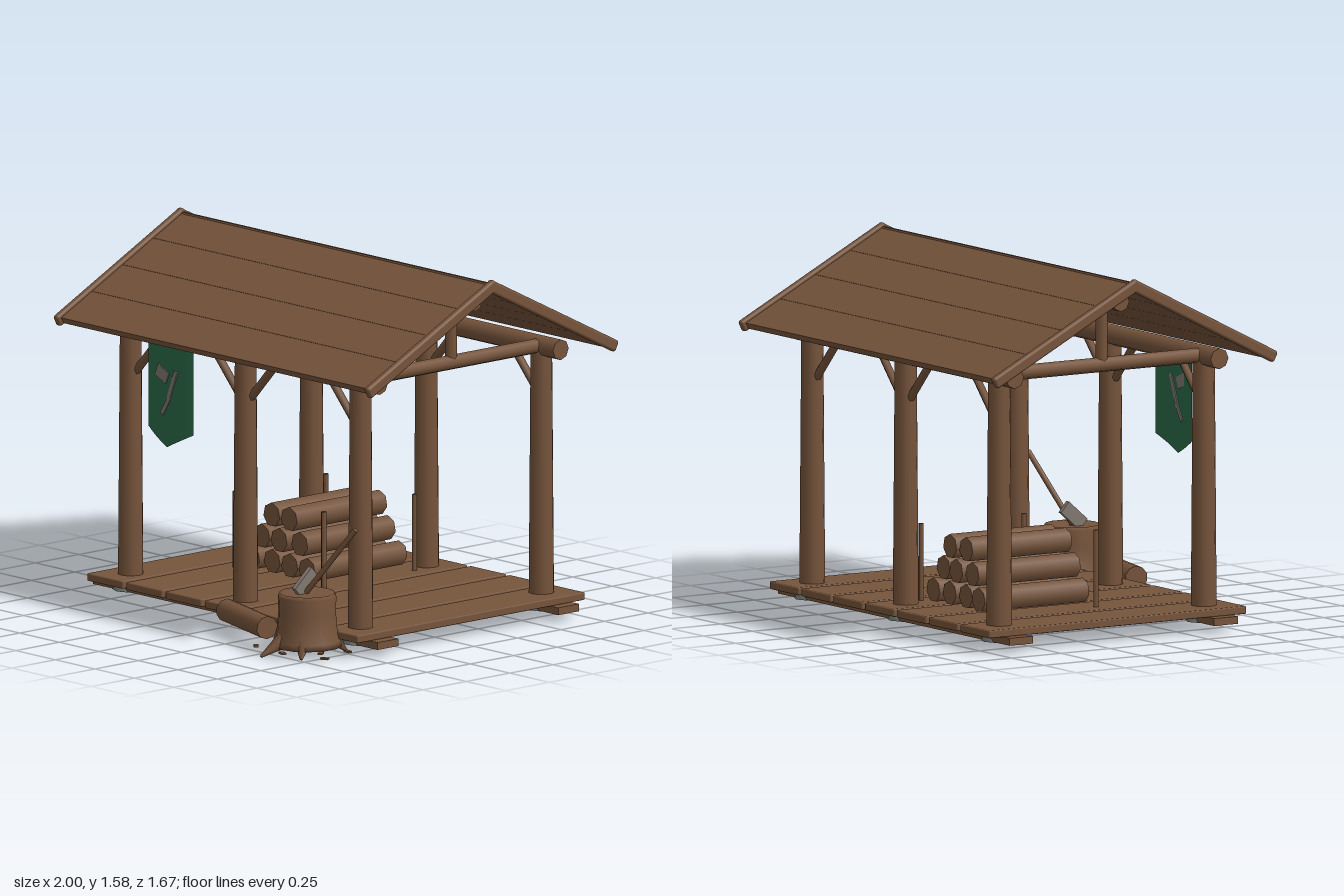
import * as THREE from 'three';
import { RoundedBoxGeometry } from 'three/addons/geometries/RoundedBoxGeometry.js';

const make = (name, color, side = THREE.FrontSide) => {
  const m = new THREE.MeshStandardMaterial({ color, side });
  m.name = name;
  return m;
};

export function createModel() {
  const wood = make('wood', 0x76543b);
  const cloth = make('green cloth', 0x2a6a47, THREE.DoubleSide);
  const metal = make('metal', 0x80786f);
  const stone = make('stone', 0x6c736f);
  const root = new THREE.Group();
  root.name = 'woodShelter';
  const V = (x, y, z) => new THREE.Vector3(x, y, z);

  const add = (name, geo, mat, pos = [0, 0, 0], rot = [0, 0, 0], parent = root) => {
    const m = new THREE.Mesh(geo, mat);
    m.name = name;
    m.position.set(...pos);
    m.rotation.set(...rot);
    parent.add(m);
    return m;
  };
  const box = (name, size, pos, mat = wood, rot, parent) =>
    add(name, new THREE.BoxGeometry(...size), mat, pos, rot, parent);
  // round timber running from a to b
  const rod = (name, a, b, ra, rb = ra, sides = 8, mat = wood) => {
    const p = V(...a), q = V(...b), d = q.clone().sub(p);
    const m = add(name, new THREE.CylinderGeometry(rb, ra, d.length(), sides), mat);
    m.position.copy(p).add(q).multiplyScalar(0.5);
    m.quaternion.setFromUnitVectors(V(0, 1, 0), d.normalize());
    return m;
  };

  const midZ = -0.115, rows = [0.405, -0.635], cols = [-0.727, 0, 0.727];

  // deck planks
  for (let i = 0; i < 7; i++)
    add('deckPlank', new RoundedBoxGeometry(0.226, 0.034, 1.31, 1, 0.006), wood,
      [(i - 3) * 0.2475, 0.084, midZ]);

  // bearers, footings, posts, eave beams and braces
  for (const z of rows) {
    box('bearer', [1.8, 0.032, 0.12], [0, 0.052, z]);
    rod('eaveBeam', [-0.85, 1.175, z], [0.85, 1.175, z], 0.045);
    for (const x of cols) {
      add('footing', new THREE.CylinderGeometry(0.066, 0.08, 0.033, 8), stone, [x, 0.05, z]);
      rod('post', [x, 0.09, z], [x, 1.17, z], 0.055, 0.047, 12);
      for (const s of [-1, 1])
        if (Math.abs(x + s * 0.1) < 0.8)
          rod('brace', [x + s * 0.02, 0.972, z], [x + s * 0.2, 1.165, z], 0.018, 0.018, 6);
    }
  }

  // end trusses and ridge beam
  for (const x of [cols[0], cols[2]]) {
    rod('tieBeam', [x, 1.177, rows[0]], [x, 1.177, rows[1]], 0.032);
    rod('kingPost', [x, 1.18, midZ], [x, 1.46, midZ], 0.026);
  }
  rod('ridgeBeam', [-0.88, 1.465, midZ], [0.88, 1.465, midZ], 0.042);

  // roof slopes: four boards and two barge boards each
  for (const turn of [0, Math.PI]) {
    const side = new THREE.Group(), slope = new THREE.Group();
    side.name = 'roofSide';
    slope.name = 'roofSlope';
    side.position.set(0, 1.575, midZ);
    side.rotation.y = turn;
    slope.rotation.x = 0.471;
    side.add(slope);
    root.add(side);
    for (let i = 0; i < 4; i++)
      box('roofBoard', [1.94, 0.028, 0.197], [0, -0.029, 0.1 + i * 0.1985], wood, [0, 0, 0], slope);
    for (const x of [-0.983, 0.983])
      add('bargeBoard', new RoundedBoxGeometry(0.032, 0.052, 0.822, 2, 0.012), wood,
        [x, -0.025, 0.403], [0, 0, 0], slope);
  }

  // stacked firewood, seven-sided logs
  [[4, -0.417, 0.16], [3, -0.36, 0.262], [2, -0.303, 0.362]].forEach(([n, x0, y], r) => {
    for (let i = 0; i < n; i++) {
      const x = x0 + i * 0.117, shift = ((i * 2 + r) % 3) * 0.006;
      rod('firewood', [x, y, -0.008 - shift], [x, y, -0.538 + shift], 0.053, 0.053, 7);
    }
  });
  for (const x of [-0.52, 0.04])
    for (const z of [-0.008, -0.53]) rod('stake', [x, 0.09, z], [x, 0.432, z], 0.012, 0.012, 6);

  // hanging banner, gently bowed, with pointed lower edge
  const bg = new THREE.PlaneGeometry(0.285, 1, 12, 6), p = bg.attributes.position;
  for (let i = 0; i < p.count; i++) {
    const u = p.getX(i) / 0.1425, v = 0.5 - p.getY(i);
    p.setY(i, 1.15 - v * (0.44 - 0.07 * Math.abs(u)));
    p.setZ(i, 0.455 + 0.022 * (1 - u * u));
  }
  bg.computeVertexNormals();
  add('banner', bg, cloth, [-0.418, 0, 0]);
  box('bannerAxeHead', [0.075, 0.052, 0.008], [-0.447, 1.025, 0.478], metal, [0, 0, -0.42]);
  box('bannerAxeHandle', [0.02, 0.13, 0.008], [-0.385, 0.985, 0.476], metal, [0, 0, -0.36]);
  box('bannerAxeHandle', [0.02, 0.09, 0.008], [-0.425, 0.89, 0.477], metal, [0, 0, -0.56]);

  // chopping stump with flared roots
  const stump = [[0, 0.035], [0.15, 0.035], [0.145, 0.06], [0.13, 0.11], [0.124, 0.18],
    [0.126, 0.25], [0.118, 0.265], [0.09, 0.258], [0, 0.258]].map(([x, y]) => new THREE.Vector2(x, y));
  add('stump', new THREE.LatheGeometry(stump, 14), wood, [0.62, 0, 0.615]);
  [[1.85, 0.22], [0.9, 0.16], [2.7, 0.17], [3.9, 0.17], [5.3, 0.17]].forEach(([a, r]) => {
    const c = Math.cos(a), s = Math.sin(a);
    rod('stumpRoot', [0.62 + c * 0.1, 0.075, 0.615 + s * 0.1],
      [0.62 + c * r, 0.005, 0.615 + s * r], 0.04, 0.006, 6);
  });

  // axe stuck in the stump
  rod('axeHandle', [0.61, 0.262, 0.612], [0.835, 0.558, 0.533], 0.012, 0.012, 8);
  box('axeHead', [0.022, 0.06, 0.125], [0.6, 0.303, 0.608], metal, [0.72, 0, 0]);

  // loose log and chips on the ground
  rod('looseLog', [0.09, 0.1, 0.597], [0.455, 0.095, 0.695], 0.05, 0.05, 10);
  [[0.69, 0.82, 0.3], [0.89, 0.76, -0.4], [0.85, 0.59, 0.1], [0.8, 0.7, 1], [0.5, 0.8, 0.7]]
    .forEach(([x, z, a]) => box('woodChip', [0.035, 0.008, 0.02], [x, 0.04, z], wood, [0, -a, 0]));

  return root;
}
